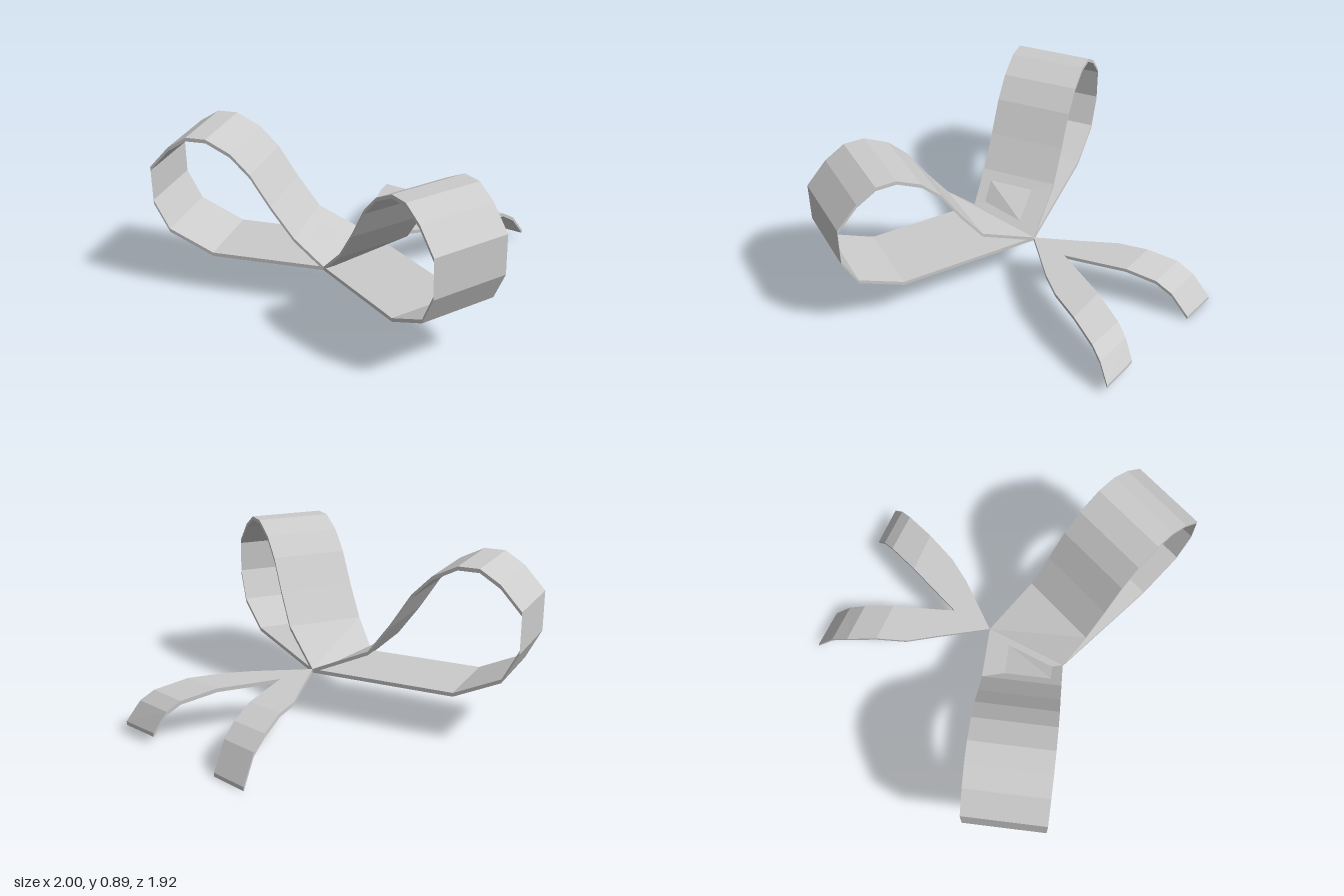
import * as THREE from 'three';

const THICK = 0.02;
const material = new THREE.MeshStandardMaterial({ color: 0xcccccc, flatShading: true, side: THREE.DoubleSide });

// Ribbon strip from sections [ax, az, bx, bz, y]; a is the right edge when
// looking along the strip, and the thickness is measured straight up.
function ribbon(name, sections) {
  const rings = sections.map(([ax, az, bx, bz, y]) => [
    [ax, y, az], [bx, y, bz], [bx, y + THICK, bz], [ax, y + THICK, az],
  ]);
  const pos = [];
  const quad = (a, b, c, d) => pos.push(...a, ...b, ...c, ...a, ...c, ...d);
  for (let i = 0; i < rings.length - 1; i++) {
    const p = rings[i], q = rings[i + 1];
    for (let k = 0; k < 4; k++) {
      const n = (k + 1) % 4;
      quad(p[k], p[n], q[n], q[k]);
    }
  }
  const s = rings[0], e = rings[rings.length - 1];
  quad(s[3], s[2], s[1], s[0]);
  quad(e[0], e[1], e[2], e[3]);
  const geo = new THREE.BufferGeometry();
  geo.setAttribute('position', new THREE.Float32BufferAttribute(pos, 3));
  geo.computeVertexNormals();
  const mesh = new THREE.Mesh(geo, material);
  mesh.name = name;
  return mesh;
}

// Shared slanted seam where both loops meet
const SEAM_LEFT = [-0.39, 0.02], SEAM_RIGHT = [0.03, -0.13];
const SEAM_Y = 0.225, REACH = 0.96;

// Loop profiles [distance, height], from the seam outwards
const LOWER = [[0.64, 0.225], [0.88, 0.337], [0.96, 0.495], [0.96, 0.685]];
const UPPER = [[0.18, 0.37], [0.30, 0.535], [0.405, 0.70], [0.508, 0.805],
  [0.636, 0.87], [0.745, 0.87], [0.85, 0.805], [0.96, 0.685]];

// A loop ends at points endA and endB and runs along dir
function loop(name, seamA, seamB, endA, endB, dir) {
  const section = ([d, y]) => {
    const k = d - REACH;
    return [endA[0] + dir[0] * k, endA[1] + dir[1] * k,
      endB[0] + dir[0] * k, endB[1] + dir[1] * k, y];
  };
  const start = [...seamA, ...seamB, SEAM_Y];
  const g = new THREE.Group();
  g.name = name;
  g.add(
    ribbon(name + 'Underside', [start, ...LOWER.map(section)]),
    ribbon(name + 'Top', [start, ...UPPER.map(section)]),
  );
  return g;
}

export function createModel() {
  const model = new THREE.Group();
  model.name = 'ribbonBow';

  // Two loops mirrored about the seam
  model.add(
    loop('frontLoop', SEAM_LEFT, SEAM_RIGHT, [-0.39, REACH], [0.03, REACH], [0, 1]),
    loop('backLoop', SEAM_RIGHT, SEAM_LEFT, [-0.68, -0.96], [-1, -0.69], [-0.65, -0.76]),
  );

  // Two tails that split from the knot and curl down at the ends
  model.add(
    ribbon('sideTail', [
      [0.03, -0.13, 0.03, -0.13, SEAM_Y],
      [0.33, -0.035, 0.24, -0.2, SEAM_Y],
      [0.48, -0.005, 0.40, -0.2, SEAM_Y],
      [0.67, 0, 0.58, -0.2, SEAM_Y],
      [0.85, 0, 0.77, -0.2, 0.188],
      [0.925, 0, 0.845, -0.2, 0.142],
      [1, 0, 0.915, -0.2, 0.04],
    ]),
    ribbon('backTail', [
      [0.03, -0.13, 0.03, -0.13, SEAM_Y],
      [0.24, -0.2, 0.19, -0.36, SEAM_Y],
      [0.36, -0.31, 0.29, -0.51, SEAM_Y],
      [0.49, -0.43, 0.41, -0.62, SEAM_Y],
      [0.61, -0.54, 0.53, -0.735, 0.188],
      [0.68, -0.597, 0.605, -0.79, 0.13],
      [0.755, -0.66, 0.68, -0.855, 0],
    ]),
  );
  return model;
}
